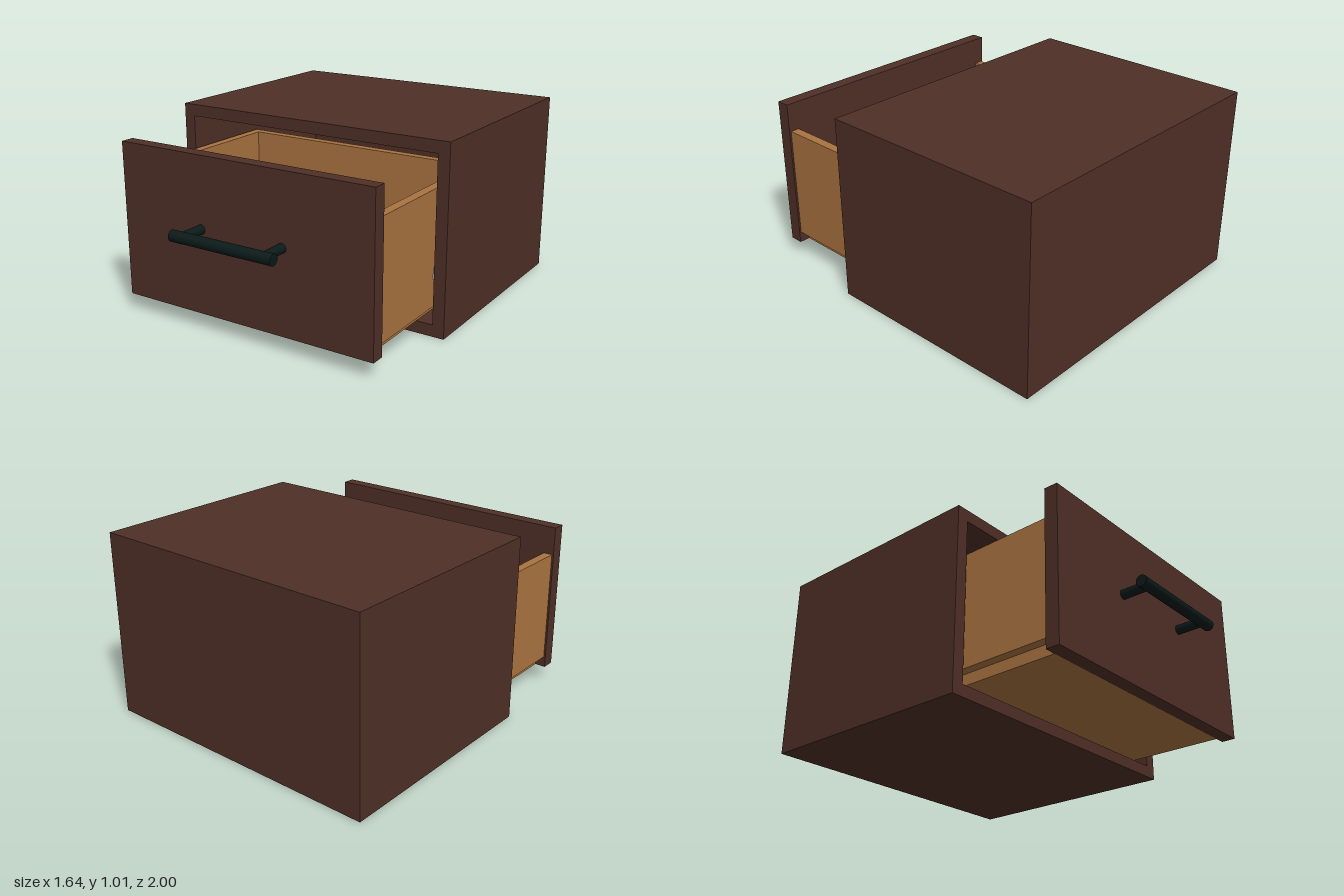
import * as THREE from 'three';

const material = (color) => new THREE.MeshStandardMaterial({ color });

export function createModel() {
  const model = new THREE.Group();
  model.name = 'drawerCabinet';
  const darkWood = material(0x4e2f26);
  const lightWood = material(0xaa7340);
  const blackMetal = material(0x0b1a19);
  const steel = material(0xcccccc);

  const add = (parent, name, geometry, mat) => {
    const mesh = new THREE.Mesh(geometry, mat);
    mesh.name = name;
    parent.add(mesh);
    return mesh;
  };
  // Box given by its limits on each axis
  const box = (parent, name, mat, [x0, x1], [y0, y1], [z0, z1]) =>
    add(parent, name, new THREE.BoxGeometry(x1 - x0, y1 - y0, z1 - z0), mat)
      .position.set((x0 + x1) / 2, (y0 + y1) / 2, (z0 + z1) / 2);
  const rectangle = (Type, x, y0, y1) => new Type([
    new THREE.Vector2(-x, y0), new THREE.Vector2(x, y0),
    new THREE.Vector2(x, y1), new THREE.Vector2(-x, y1),
  ]);

  // Cabinet: one-piece shell, open at the front, with a back panel
  const cabinet = new THREE.Group();
  cabinet.name = 'cabinet';
  model.add(cabinet);
  const outline = rectangle(THREE.Shape, 0.82, 0, 1.015);
  outline.holes.push(rectangle(THREE.Path, 0.755, 0.065, 0.95));
  const shell = new THREE.ExtrudeGeometry(outline, { depth: 1.26, bevelEnabled: false });
  add(cabinet, 'cabinetShell', shell, darkWood).position.z = -1;
  box(cabinet, 'cabinetBack', darkWood, [-0.755, 0.755], [0.065, 0.95], [-1, -0.935]);

  // Pulled-out drawer
  const drawer = new THREE.Group();
  drawer.name = 'drawer';
  model.add(drawer);
  box(drawer, 'drawerFront', darkWood, [-0.75, 0.75], [0.09, 0.925], [0.75, 0.825]);
  box(drawer, 'drawerBottom', lightWood, [-0.69, 0.69], [0.09, 0.15], [-0.28, 0.75]);
  box(drawer, 'drawerBack', lightWood, [-0.69, 0.69], [0.15, 0.77], [-0.28, -0.23]);

  // Handle bar
  const handle = new THREE.Group();
  handle.name = 'handle';
  handle.position.set(0, 0.545, 0.97);
  drawer.add(handle);
  const bar = new THREE.CylinderGeometry(0.03, 0.03, 0.61, 32);
  add(handle, 'handleBar', bar, blackMetal).rotation.z = Math.PI / 2;

  // Paired parts: drawer sides, runners and handle posts
  for (const [side, s] of [['left', 1], ['right', -1]]) {
    const span = (a, b) => (s > 0 ? [a, b] : [-b, -a]);
    box(drawer, side + 'DrawerSide', lightWood, span(0.69, 0.74), [0.15, 0.77], [-0.28, 0.75]);
    box(cabinet, side + 'Runner', steel, span(0.741, 0.755), [0.3, 0.36], [-0.9, 0.24]);
    const post = add(handle, side + 'HandlePost', new THREE.CylinderGeometry(0.025, 0.025, 0.15, 24), blackMetal);
    post.rotation.x = Math.PI / 2;
    post.position.set(s * 0.245, 0, -0.075);
  }
  return model;
}
